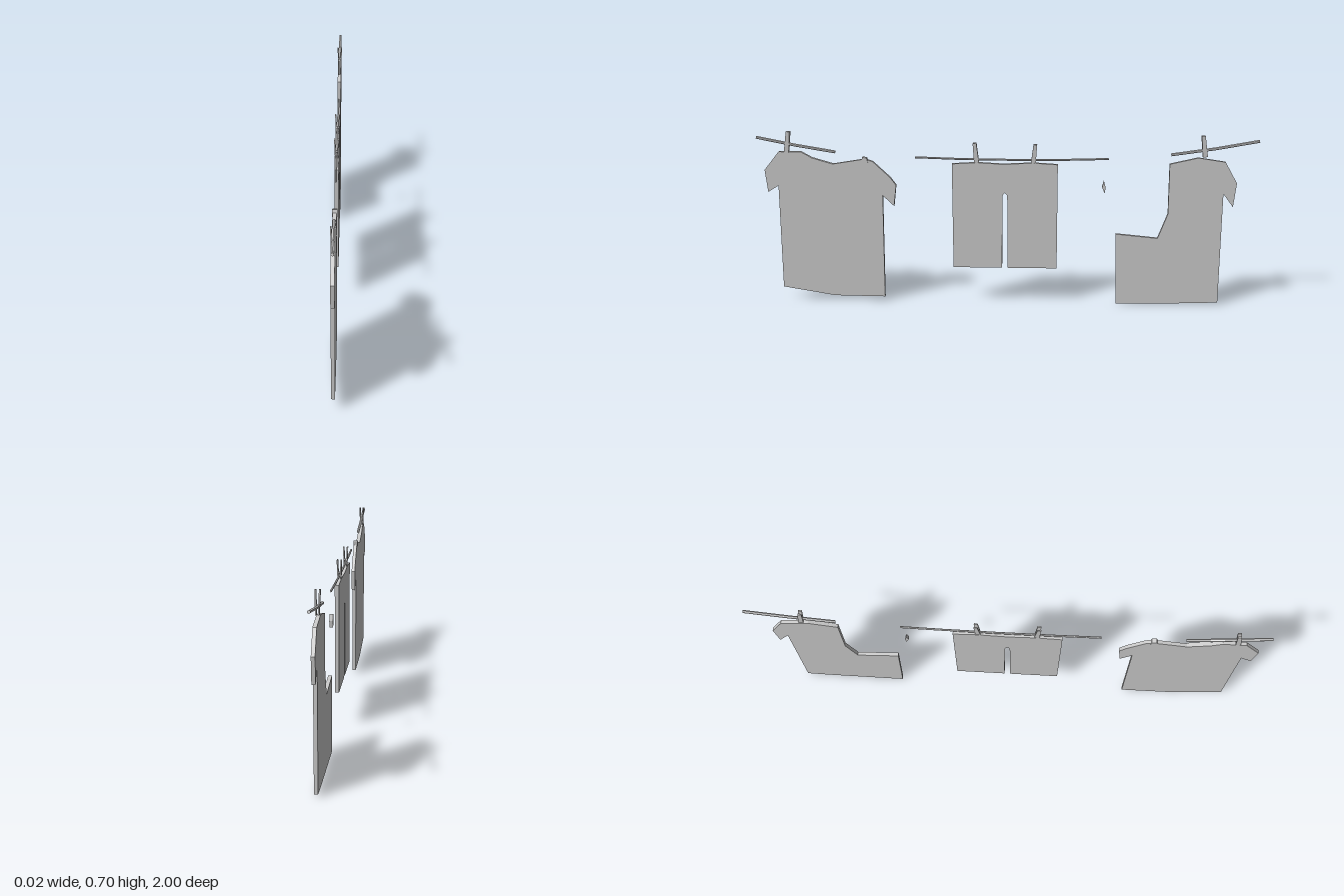
import * as THREE from 'three';

const material = new THREE.MeshStandardMaterial({ color: 0xcccccc, flatShading: true, side: THREE.DoubleSide });

function add(parent, name, geometry) {
  const mesh = new THREE.Mesh(geometry, material);
  mesh.name = name;
  parent.add(mesh);
  return mesh;
}

// Flat panel cut from a (z, y) outline, with its thickness along x
function panel(parent, name, outline, thickness, x = 0) {
  const shape = new THREE.Shape(outline.map(([z, y]) => new THREE.Vector2(z, y)));
  const geometry = new THREE.ExtrudeGeometry(shape, { depth: thickness, bevelEnabled: false });
  geometry.translate(0, 0, -thickness / 2).rotateY(-Math.PI / 2).translate(x, 0, 0);
  return add(parent, name, geometry);
}

// Rope made of straight capped lengths between (z, y) points
function rope(parent, name, points, radius) {
  const group = new THREE.Group();
  group.name = name;
  for (let i = 0; i < points.length - 1; i++) {
    const a = new THREE.Vector3(0, points[i][1], points[i][0]);
    const b = new THREE.Vector3(0, points[i + 1][1], points[i + 1][0]);
    const length = add(group, 'ropeLength', new THREE.CylinderGeometry(radius, radius, a.distanceTo(b), 6));
    length.position.copy(a).lerp(b, 0.5);
    length.quaternion.setFromUnitVectors(new THREE.Vector3(0, 1, 0), b.sub(a).normalize());
  }
  parent.add(group);
}

// Clothes peg: two prongs that spread apart towards the top
function peg(parent, z, top, tilt, height = 0.085) {
  const group = new THREE.Group();
  group.name = 'peg';
  for (const side of [-1, 1]) {
    const geometry = new THREE.BoxGeometry(0.005, height, 0.018);
    const p = geometry.attributes.position;
    for (let i = 0; i < p.count; i++) {
      const t = p.getY(i) / height + 0.5;
      p.setX(i, p.getX(i) + side * (0.0045 + 0.003 * t));
      p.setZ(i, p.getZ(i) * (1.1 - 0.3 * t));
    }
    geometry.computeVertexNormals();
    add(group, 'pegProng', geometry);
  }
  // Spring joining the prongs
  const spring = add(group, 'pegSpring', new THREE.CylinderGeometry(0.004, 0.004, 0.012, 6).rotateZ(Math.PI / 2));
  spring.position.y = -0.01;
  group.position.set(0, top - height / 2, z);
  group.rotation.x = tilt;
  parent.add(group);
}

export function createModel() {
  const model = new THREE.Group();
  model.name = 'clothesline';

  // Whole shirt
  panel(model, 'shirt', [
    [0.91, 0.623], [0.82, 0.623], [0.778, 0.6], [0.692, 0.575], [0.564, 0.596], [0.532, 0.586],
    [0.463, 0.521], [0.44, 0.49], [0.45, 0.404], [0.495, 0.447], [0.497, 0.019], [0.703, 0.021],
    [0.917, 0.056], [0.917, 0.484], [0.96, 0.457], [0.97, 0.548],
  ], 0.014, -0.001);
  // Small folds at the shirt collar
  panel(model, 'collarFold', [[0.79, 0.562], [0.73, 0.581], [0.692, 0.575], [0.778, 0.6]], 0.004, 0.007);
  panel(model, 'shoulderFold', [[0.58, 0.58], [0.55, 0.58], [0.555, 0.6], [0.572, 0.605]], 0.018);

  // Shorts with a narrow gap between the legs
  panel(model, 'shorts', [
    [0.214, 0.58], [0.115, 0.586], [0.008, 0.58], [-0.11, 0.586], [-0.208, 0.58], [-0.208, 0.15],
    [-0.009, 0.15], [-0.007, 0.452], [0.003, 0.464], [0.012, 0.452], [0.014, 0.15], [0.212, 0.15],
  ], 0.016);

  // Torn shirt with one half of its top missing
  panel(model, 'tornShirt', [
    [-0.65, 0.586], [-0.762, 0.612], [-0.869, 0.596], [-0.917, 0.511], [-0.906, 0.414], [-0.866, 0.468],
    [-0.864, 0.013], [-0.767, 0.008], [-0.452, 0.003], [-0.444, 0.297], [-0.612, 0.281], [-0.65, 0.382],
  ], 0.014, -0.001);

  // Loose scrap of cloth
  panel(model, 'clothScrap', [[-0.392, 0.515], [-0.399, 0.49], [-0.396, 0.465], [-0.385, 0.49]], 0.014);

  // Three lengths of line
  rope(model, 'frontRope', [[0.998, 0.68], [0.84, 0.649], [0.682, 0.623]], 0.006);
  rope(model, 'middleRope', [[0.361, 0.604], [0.19, 0.599], [-0.03, 0.597], [-0.24, 0.599], [-0.409, 0.604]], 0.004);
  rope(model, 'backRope', [[-0.655, 0.623], [-0.83, 0.649], [-0.998, 0.68]], 0.006);

  // Pegs
  peg(model, 0.873, 0.705, -0.12);
  peg(model, 0.119, 0.664, 0.1);
  peg(model, -0.114, 0.66, -0.1);
  peg(model, -0.783, 0.7, 0.12);

  return model;
}
